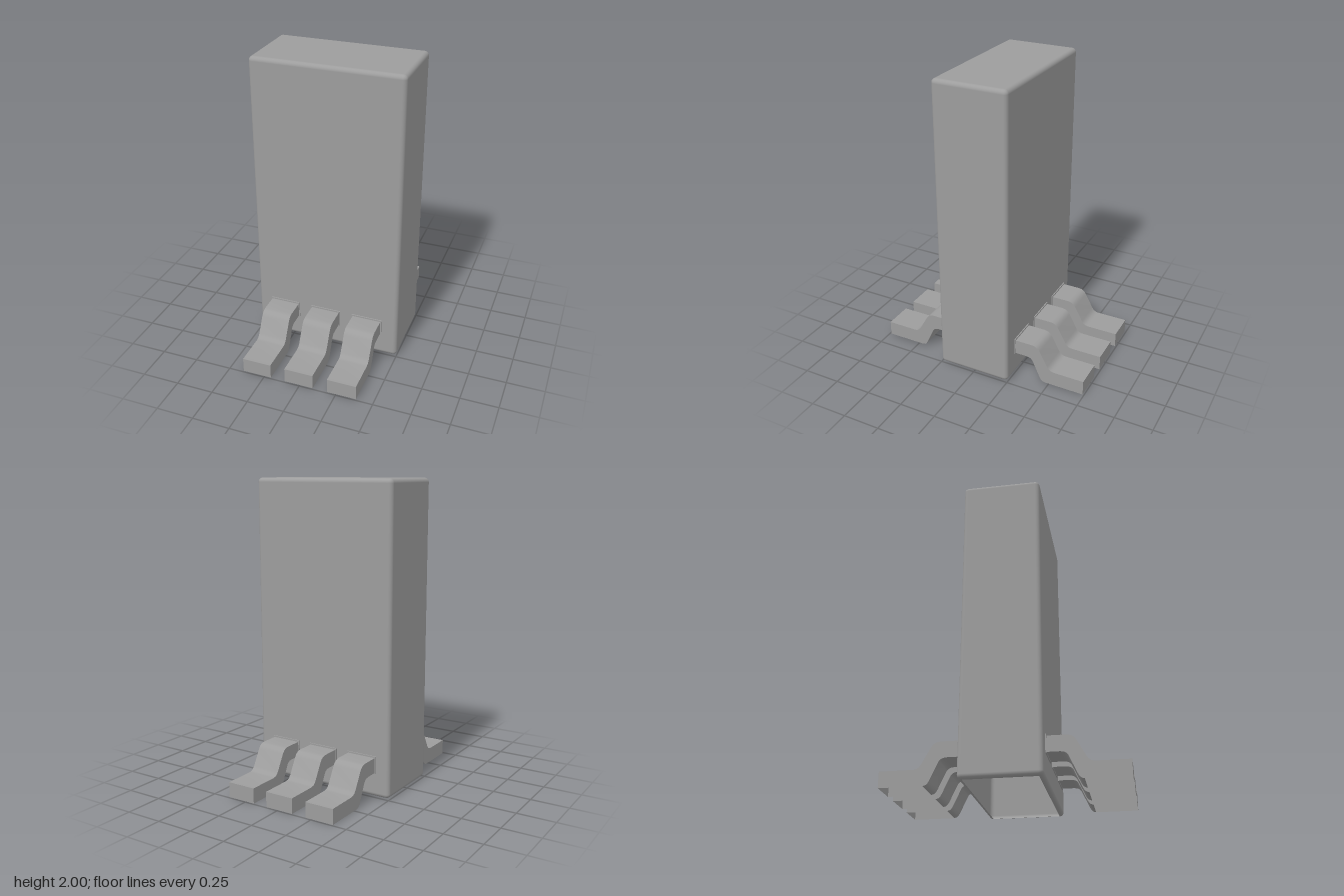
import * as THREE from 'three';
import { RoundedBoxGeometry } from 'three/addons/geometries/RoundedBoxGeometry.js';
import { toCreasedNormals } from 'three/addons/utils/BufferGeometryUtils.js';

const grey = new THREE.MeshStandardMaterial({ color: 0x9d9d9d, side: THREE.DoubleSide });

// Hollow housing: a rounded box without its flat underside
function housingGeometry(width, height, depth, radius) {
  const box = new RoundedBoxGeometry(width, height, depth, 4, radius);
  const { position, normal } = box.attributes;
  const positions = [];
  const normals = [];
  for (let i = 0; i < position.count; i += 3) {
    const corners = [i, i + 1, i + 2];
    if (corners.every((c) => position.getY(c) < -height / 2 + 1e-4)) continue;
    for (const c of corners) {
      positions.push(position.getX(c), position.getY(c), position.getZ(c));
      normals.push(normal.getX(c), normal.getY(c), normal.getZ(c));
    }
  }
  const geometry = new THREE.BufferGeometry();
  geometry.setAttribute('position', new THREE.Float32BufferAttribute(positions, 3));
  geometry.setAttribute('normal', new THREE.Float32BufferAttribute(normals, 3));
  return geometry;
}

// Gull-wing leg: paired upper and lower [z, y] points swept across its width.
// The underside of the flat foot is left open.
function legGeometry(width) {
  const upper = [[0.25, 0.265], [0.375, 0.265], [0.4, 0.26], [0.417, 0.248], [0.43, 0.23],
    [0.485, 0.13], [0.497, 0.114], [0.512, 0.104], [0.53, 0.1], [0.74, 0.1]];
  const lower = [[0.25, 0.166], [0.335, 0.166], [0.355, 0.163], [0.369, 0.156], [0.38, 0.144],
    [0.432, 0.032], [0.442, 0.015], [0.453, 0.005], [0.47, 0], [0.74, 0]];
  const h = width / 2;
  const positions = [];
  const quad = (a, b, c, d) => positions.push(...a, ...b, ...c, ...a, ...c, ...d);
  const at = (x, [z, y]) => [x, y, z];
  const last = upper.length - 1;
  for (let i = 0; i < last; i++) {
    const [u, v, l, m] = [upper[i], upper[i + 1], lower[i], lower[i + 1]];
    quad(at(-h, u), at(-h, v), at(h, v), at(h, u));
    quad(at(h, l), at(h, u), at(h, v), at(h, m));
    quad(at(-h, l), at(-h, m), at(-h, v), at(-h, u));
    if (i < last - 1) quad(at(-h, l), at(h, l), at(h, m), at(-h, m));
  }
  quad(at(-h, lower[last]), at(h, lower[last]), at(h, upper[last]), at(-h, upper[last]));
  const geometry = new THREE.BufferGeometry();
  geometry.setAttribute('position', new THREE.Float32BufferAttribute(positions, 3));
  return toCreasedNormals(geometry, 0.6);
}

export function createModel() {
  const model = new THREE.Group();
  model.name = 'connector';
  const add = (parent, name, geometry, x, y, z) => {
    const mesh = new THREE.Mesh(geometry, grey);
    mesh.name = name;
    mesh.position.set(x, y, z);
    parent.add(mesh);
  };

  // Housing, open below
  add(model, 'housing', housingGeometry(1, 1.995, 0.5, 0.028), 0, 1.0025, 0);

  // Three legs with thin collars on the front and on the back
  const leg = legGeometry(0.196);
  const collar = new THREE.BoxGeometry(0.21, 0.115, 0.007);
  for (const side of [1, -1]) {
    const row = new THREE.Group();
    row.name = side > 0 ? 'frontLegs' : 'backLegs';
    row.rotation.y = side > 0 ? 0 : Math.PI;
    for (const x of [-0.303, -0.008, 0.287]) {
      add(row, 'leg', leg, x * side, 0, 0);
      add(row, 'collar', collar, x * side, 0.2175, 0.2535);
    }
    model.add(row);
  }
  return model;
}
